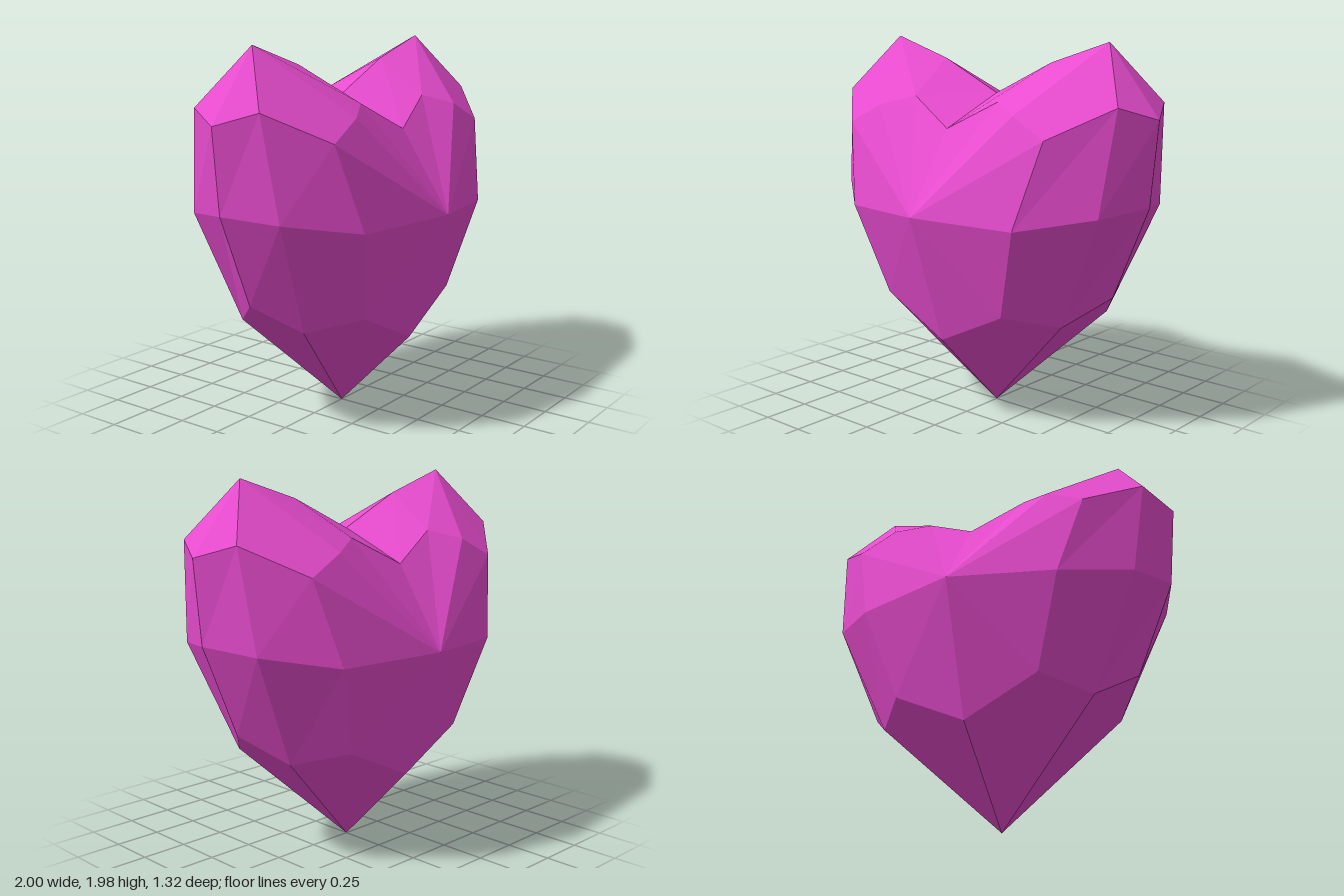
import * as THREE from 'three';

// Corners of one quarter of the gem (x >= 0, z >= 0)
const corners = {
  tip: [0, 0, 0],
  // lower ring
  lowMid: [0, 0.45, 0.44], lowFront: [0.39, 0.64, 0.43], lowSide: [0.59, 0.575, 0.2], lowEdge: [0.76, 0.72, 0],
  // widest ring
  midMid: [0, 1.13, 0.66], midFront: [0.54, 1.11, 0.53], midSide: [0.85, 1.17, 0.27], midEdge: [0.96, 1.2, 0],
  // upper ring
  dipFront: [0, 1.545, 0.385], lobeInner: [0.28, 1.69, 0.32], lobeFront: [0.45, 1.64, 0.415],
  lobeOuter: [0.65, 1.54, 0.435], lobeSide: [0.9, 1.69, 0.2], lobeEdge: [1, 1.625, 0],
  // ridge along the top
  peak: [0.71, 1.98, 0], ridge: [0.36, 1.87, 0], dip: [0, 1.7, 0],
};

// Facets of that quarter, anticlockwise seen from outside
const facets = [
  'tip lowFront lowMid', 'tip lowSide lowFront', 'tip lowEdge lowSide',
  'midMid lowMid lowFront', 'midMid lowFront midFront',
  'lowFront lowSide midSide midFront', 'lowSide lowEdge midEdge midSide',
  'midMid lobeInner dipFront', 'midMid lobeFront lobeInner', 'midMid lobeOuter lobeFront',
  'midMid midFront lobeOuter', 'midFront midSide lobeSide lobeOuter', 'midSide midEdge lobeEdge lobeSide',
  'lobeInner lobeFront peak', 'lobeFront lobeOuter peak', 'lobeOuter lobeSide peak', 'lobeSide lobeEdge peak',
  'lobeInner peak ridge', 'dipFront lobeInner ridge dip',
];

// Mirrors the quarter across x and z, reversing the corner order where needed
function heartGeometry() {
  const positions = [];
  for (const sx of [1, -1]) for (const sz of [1, -1]) {
    for (const facet of facets) {
      const points = facet.split(' ').map((name) => corners[name]);
      if (sx * sz < 0) points.reverse();
      for (let i = 1; i < points.length - 1; i++) {
        for (const [x, y, z] of [points[0], points[i], points[i + 1]]) positions.push(x * sx, y, z * sz);
      }
    }
  }
  const geometry = new THREE.BufferGeometry();
  geometry.setAttribute('position', new THREE.Float32BufferAttribute(positions, 3));
  geometry.computeVertexNormals();
  return geometry;
}

export function createModel() {
  const group = new THREE.Group();
  group.name = 'heartGem';
  const material = new THREE.MeshStandardMaterial({ color: 0xe84ccf, flatShading: true });
  const heart = new THREE.Mesh(heartGeometry(), material);
  heart.name = 'facetedHeart';
  group.add(heart);
  return group;
}
